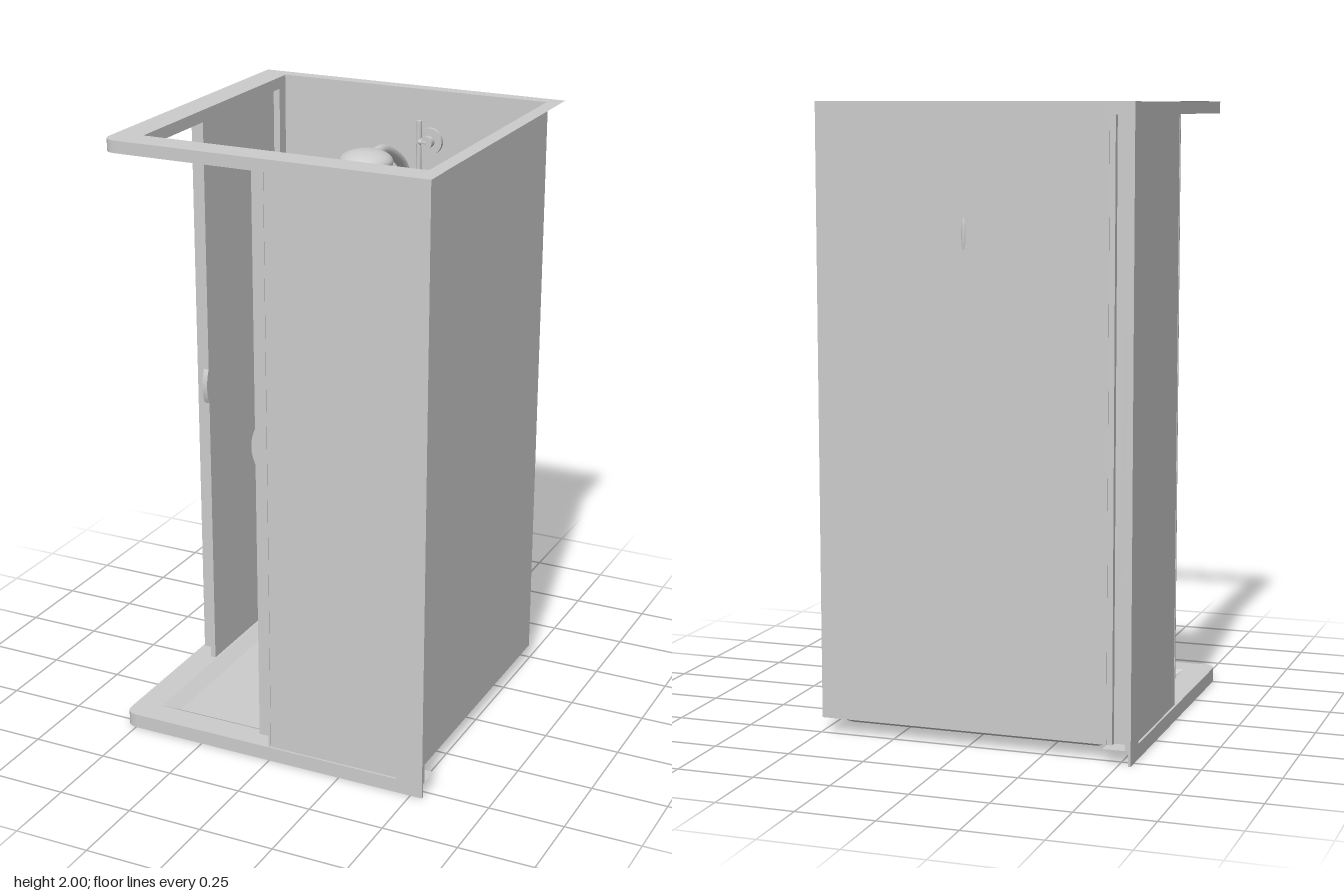
import * as THREE from 'three';

const mat = new THREE.MeshStandardMaterial({ color: 0xcccccc, side: THREE.DoubleSide });
const V = (x, y, z) => new THREE.Vector3(x, y, z);
const O = 0.54;   // outer edge
const I = 0.45;   // inner edge on the two door sides
const W = 0.495;  // wall plane
const BASE = 0.048, TOP = 1.96, H = 2;

function add(parent, name, geometry) {
  const m = new THREE.Mesh(geometry, mat);
  m.name = name;
  parent.add(m);
  return m;
}

function box(parent, name, [x0, x1], [y0, y1], [z0, z1]) {
  const m = add(parent, name, new THREE.BoxGeometry(Math.abs(x1 - x0), y1 - y0, z1 - z0));
  m.position.set((x0 + x1) / 2, (y0 + y1) / 2, (z0 + z1) / 2);
  return m;
}

// Plan outline from [x, z] points; the last point gets a rounded corner
function plan(points, radius = 0) {
  const s = new THREE.Shape();
  points.forEach(([x, z], i) => (i ? s.lineTo(x, -z) : s.moveTo(x, -z)));
  if (radius) {
    s.lineTo(-O + radius, -O);
    s.quadraticCurveTo(-O, -O, -O, -O + radius);
  }
  s.closePath();
  return s;
}
const rect = (x0, x1, z0, z1) => [[x0, z0], [x1, z0], [x1, z1], [x0, z1]];

function sheet(parent, name, shape, y) {
  const m = add(parent, name, new THREE.ShapeGeometry(shape, 12).rotateX(-Math.PI / 2));
  m.position.y = y;
  return m;
}

function slab(parent, name, shape, y0, y1) {
  const g = new THREE.ExtrudeGeometry(shape, { depth: y1 - y0, bevelEnabled: false, curveSegments: 8 });
  const m = add(parent, name, g.rotateX(-Math.PI / 2));
  m.position.y = y0;
  return m;
}

// Cylinder between two points
function rod(parent, name, a, b, r0, r1 = r0) {
  const d = b.clone().sub(a);
  const m = add(parent, name, new THREE.CylinderGeometry(r1, r0, d.length(), 24));
  m.position.copy(a).addScaledVector(d, 0.5);
  m.quaternion.setFromUnitVectors(V(0, 1, 0), d.normalize());
  return m;
}

function tube(parent, name, points, r) {
  return add(parent, name, new THREE.TubeGeometry(new THREE.CatmullRomCurve3(points), 40, r, 14));
}

// Four sloped sides joining an upper and a lower rectangle
function slopes(upper, yu, lower, yl) {
  const p = [];
  for (let i = 0; i < 4; i++) {
    const j = (i + 1) % 4;
    const a = [upper[i][0], yu, upper[i][1]], b = [upper[j][0], yu, upper[j][1]];
    const c = [lower[i][0], yl, lower[i][1]], d = [lower[j][0], yl, lower[j][1]];
    p.push(...a, ...c, ...b, ...b, ...c, ...d);
  }
  const g = new THREE.BufferGeometry();
  g.setAttribute('position', new THREE.Float32BufferAttribute(p, 3));
  g.computeVertexNormals();
  return g;
}

function tray() {
  const g = new THREE.Group();
  g.name = 'showerTray';
  const rimHole = rect(-I, 0.47, -0.47, I);
  const floorEdge = rect(-0.405, 0.42, -0.43, 0.405);
  const rim = plan([[-O, -O], [-I, -O], [-I, -W], [W, -W], [W, I], [O, I], [O, O]], 0.045);
  rim.holes.push(plan(rimHole));
  sheet(g, 'trayRim', rim, BASE);
  add(g, 'traySlopes', slopes(rimHole, BASE, floorEdge, 0.022));
  const floor = plan(floorEdge);
  const hole = new THREE.Path();
  hole.absarc(0.276, 0.28, 0.062, 0, Math.PI * 2);
  floor.holes.push(hole);
  sheet(g, 'trayFloor', floor, 0.022);
  const drain = [[0.062, 0.022], [0.05, 0.012], [0.05, 0.016], [0, 0.016]];
  add(g, 'drain', new THREE.LatheGeometry(drain.map(([x, y]) => new THREE.Vector2(x, y)), 40))
    .position.set(0.276, 0, -0.28);
  // Skirt along the two door sides only
  const t = 0.008;
  slab(g, 'traySkirt', plan([[-O, -O], [-O + t, -O], [-O + t, O - 0.04], [-O + 0.04, O - t],
    [O, O - t], [O, O]], 0.045), 0, BASE);
  return g;
}

function topFrame() {
  const g = new THREE.Group();
  g.name = 'topFrame';
  const ring = plan([[-O, -O], [O, -O], [O, O]], 0.045);
  ring.holes.push(plan(rect(-I, W, -W, I)));
  sheet(g, 'topFlange', ring, H);
  slab(g, 'topRail', plan([[-O, -O], [-I, -O], [-I, I], [O, I], [O, O]], 0.045), TOP, H - 0.001);
  return g;
}

// One door side, built along the front; m mirrors it in x
function doorSide(m) {
  const g = new THREE.Group();
  const y = [BASE, TOP];
  const bar = (name, x, z) => box(g, name, [x[0] * m, x[1] * m], y, z);
  bar('postFlange', [I, O], [0.522, O]);
  bar('postWeb', [I, 0.475], [0.455, 0.522]);
  bar('postReturn', [I, W], [I, 0.468]);
  bar('fixedPanel', [0, I], [0.505, 0.533]);
  bar('panelSeal', [-0.004, 0.004], [0.502, 0.535]);
  bar('slidingDoor', [-0.068, 0.42], [0.457, 0.475]);
  const s = new THREE.Shape();
  s.moveTo(-0.068 * m, 1.0);
  s.quadraticCurveTo(-0.096 * m, 1.06, -0.068 * m, 1.12);
  s.closePath();
  const handle = new THREE.ExtrudeGeometry(s, { depth: 0.018, bevelEnabled: false });
  add(g, 'doorHandle', handle).position.z = 0.457;
  return g;
}

function fittings() {
  const g = new THREE.Group();
  g.name = 'showerFittings';
  // Overhead shower
  const head = add(g, 'showerHead', new THREE.SphereGeometry(0.088, 40, 20));
  head.scale.y = 0.45;
  head.position.set(0.02, 1.835, -0.137);
  tube(g, 'showerArm', [V(0.02, 1.715, -0.45), V(0.02, 1.76, -0.42), V(0.02, 1.82, -0.33),
    V(0.02, 1.845, -0.26), V(0.02, 1.845, -0.19)], 0.018);
  // Mixer with lever and knob
  rod(g, 'mixerBody', V(-0.005, 1.71, -0.447), V(0.12, 1.71, -0.447), 0.023);
  rod(g, 'mixerKnob', V(0.105, 1.71, -0.447), V(0.125, 1.71, -0.447), 0.027);
  rod(g, 'mixerButton', V(0.09, 1.73, -0.447), V(0.09, 1.74, -0.447), 0.01);
  rod(g, 'mixerMount', V(0.02, 1.71, -W), V(0.02, 1.71, -0.44), 0.018);
  rod(g, 'mixerLever', V(0, 1.72, -0.455), V(-0.075, 1.735, -0.422), 0.01, 0.016);
  // Wall plate and riser
  rod(g, 'wallPlate', V(0.09, 1.83, -W), V(0.09, 1.83, -0.478), 0.045);
  rod(g, 'wallPlateHub', V(0.09, 1.83, -0.478), V(0.09, 1.83, -0.455), 0.02);
  rod(g, 'riser', V(0.06, 1.71, -0.465), V(0.06, 1.9, -0.465), 0.009);
  rod(g, 'riserBracket', V(0.06, 1.83, -0.465), V(0.09, 1.83, -0.465), 0.011);
  // Hose bulging against the back wall
  tube(g, 'hose', [V(0.01, 1.71, -0.455), V(0.01, 1.66, -0.485), V(0.01, 1.6, -0.492),
    V(0.01, 1.54, -0.485), V(0.01, 1.49, -0.462)], 0.009);
  return g;
}

export function createModel() {
  const model = new THREE.Group();
  model.name = 'showerCabin';
  model.add(tray(), topFrame(), fittings());

  // Thin back and side walls
  box(model, 'sideWall', [W - 0.002, W + 0.002], [BASE, H], [-W, I]);
  box(model, 'backWall', [-I, W], [BASE, H], [-W - 0.002, -W + 0.002]);

  const front = doorSide(1);
  front.name = 'frontDoorSide';
  const side = doorSide(-1);
  side.name = 'rightDoorSide';
  side.rotation.y = -Math.PI / 2;
  model.add(front, side);
  return model;
}
